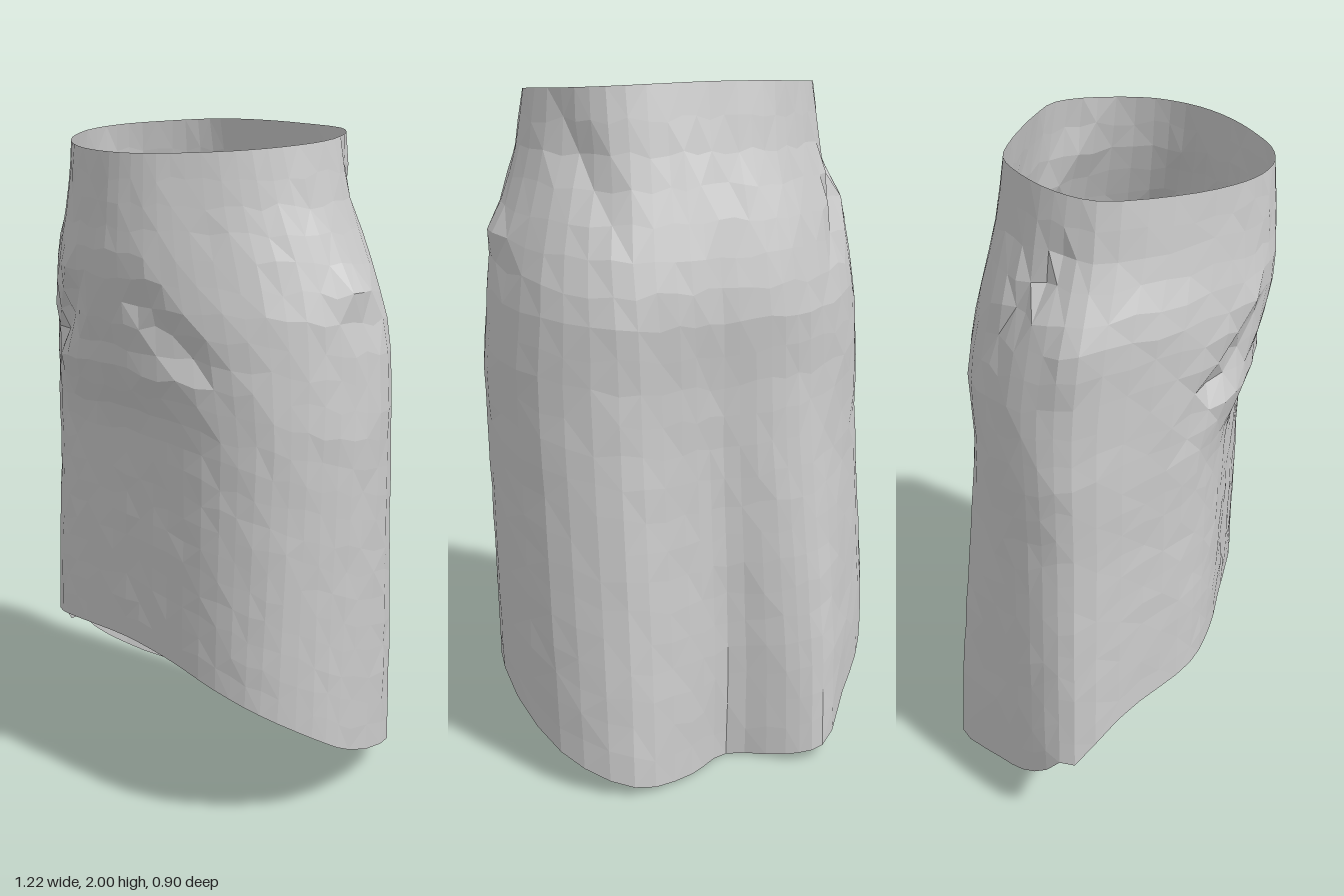
import * as THREE from 'three';

const COLS = 54, ROWS = 22;

// Outlines (x, z) from the left side round the front, right and back
const HEM = [
  0.6, 0.02, 0.57, 0.16, 0.47, 0.29, 0.35, 0.335, 0.17, 0.34, 0, 0.34,
  -0.17, 0.34, -0.32, 0.31, -0.47, 0.18, -0.61, 0.02, -0.56, -0.12, -0.43, -0.27,
  -0.27, -0.455, -0.16, -0.425, 0, -0.33, 0.14, -0.4, 0.34, -0.455, 0.52, -0.32,
];
const THIGH = [
  0.605, 0, 0.57, 0.15, 0.49, 0.26, 0.36, 0.33, 0.18, 0.35, 0.02, 0.35,
  -0.15, 0.345, -0.3, 0.3, -0.43, 0.18, -0.54, 0, -0.51, -0.14, -0.4, -0.27,
  -0.25, -0.36, -0.12, -0.38, 0.02, -0.37, 0.15, -0.38, 0.33, -0.375, 0.52, -0.24,
];
const HIP = [
  0.54, 0, 0.52, 0.13, 0.43, 0.26, 0.3, 0.365, 0.18, 0.43, 0.05, 0.45,
  -0.08, 0.43, -0.22, 0.36, -0.39, 0.2, -0.48, 0.02, -0.45, -0.12, -0.36, -0.23,
  -0.22, -0.32, -0.1, -0.34, 0.03, -0.34, 0.16, -0.34, 0.32, -0.3, 0.46, -0.19,
];
const WAIST = [
  0.45, 0.03, 0.42, 0.17, 0.35, 0.27, 0.25, 0.35, 0.16, 0.4, 0.06, 0.42,
  -0.06, 0.4, -0.17, 0.34, -0.29, 0.22, -0.39, 0.04, -0.37, -0.07, -0.29, -0.18,
  -0.2, -0.25, -0.09, -0.265, 0.03, -0.265, 0.15, -0.26, 0.31, -0.235, 0.4, -0.13,
];

// Silhouette by height: y, right edge -x, left edge +x, back z, front z
const PROFILE = [
  [0.0, -0.61, 0.58, -0.455, 0.34],
  [0.3, -0.61, 0.59, -0.438, 0.342],
  [0.6, -0.585, 0.595, -0.418, 0.345],
  [1.0, -0.545, 0.6, -0.39, 0.347],
  [1.2, -0.54, 0.605, -0.38, 0.35],
  [1.4, -0.515, 0.59, -0.39, 0.4],
  [1.52, -0.5, 0.575, -0.37, 0.43],
  [1.65, -0.48, 0.54, -0.34, 0.45],
  [1.8, -0.415, 0.485, -0.3, 0.44],
  [2.0, -0.39, 0.45, -0.265, 0.425],
];

// Cloth folds: angle in degrees, y, rise per radian, half length, half width, depth
const FOLDS = [
  [116, 1.45, -0.4, 0.4, 0.09, -0.03],
  [112, 1.56, -0.4, 0.35, 0.08, 0.015],
  [66, 1.47, 0.45, 0.35, 0.09, -0.025],
  [92, 1.35, 0, 0.9, 0.08, 0.02],
  [0, 1.57, 0.15, 0.25, 0.08, 0.025],
  [-8, 1.48, 0.15, 0.35, 0.08, -0.015],
  [180, 1.57, -0.1, 0.25, 0.08, 0.025],
  [205, 1.7, -0.4, 0.5, 0.09, -0.03],
  [-35, 1.8, 0.35, 0.4, 0.1, -0.025],
];

// Sample a smooth closed curve through an outline at every column
function ring(outline) {
  const points = [];
  for (let i = 0; i < outline.length; i += 2)
    points.push(new THREE.Vector3(outline[i], 0, outline[i + 1]));
  const curve = new THREE.CatmullRomCurve3(points, true);
  return Array.from({ length: COLS }, (_, i) => curve.getPoint(i / COLS));
}

const hemRing = ring(HEM);
const LEVELS = [[0, hemRing], [1.2, ring(THIGH)], [1.65, ring(HIP)], [2, ring(WAIST)]];
const extents = (points) => {
  const box = new THREE.Box3().setFromPoints(points);
  return [box.min.x, box.max.x, box.min.z, box.max.z];
};

// Find the two table entries around y and the blend between them
function bracket(table, y) {
  let i = 0;
  while (i < table.length - 2 && y > table[i + 1][0]) i++;
  const a = table[i], b = table[i + 1];
  return [a, b, THREE.MathUtils.clamp((y - a[0]) / (b[0] - a[0]), 0, 1)];
}

// Blend the outlines at height y and fit them to the silhouette
function sectionPoint(col, y) {
  const [lower, upper, t] = bracket(LEVELS, y);
  const blended = lower[1].map((p, i) => p.clone().lerp(upper[1][i], t));
  const [x0, x1, z0, z1] = extents(blended);
  const [a, b, k] = bracket(PROFILE, y);
  const edge = a.map((v, i) => THREE.MathUtils.lerp(v, b[i], k));
  const p = blended[col];
  return new THREE.Vector3(
    THREE.MathUtils.mapLinear(p.x, x0, x1, edge[1], edge[2]),
    y,
    THREE.MathUtils.mapLinear(p.z, z0, z1, edge[3], edge[4]),
  );
}

function foldOffset(angle, y) {
  let sum = 0;
  for (const [deg, fy, rise, length, width, depth] of FOLDS) {
    let d = angle - THREE.MathUtils.degToRad(deg);
    d = Math.atan2(Math.sin(d), Math.cos(d));
    const along = Math.max(0, 1 - Math.abs(d) / length);
    const across = Math.max(0, 1 - Math.abs(y - fy - rise * d) / width);
    sum += depth * Math.min(1, along * 1.5) * across;
  }
  return sum;
}

function skirtPoint(col, row, random) {
  // Sloping hem, high in front and low behind; nearly level waist
  const h = hemRing[col];
  const u = Math.min(1, Math.abs(h.x) / 0.6);
  const hem = 0.265 - 0.05 * h.x + 0.265 * Math.sign(h.z - 0.02) * Math.sqrt(1 - u * u);
  const waist = 1.975 - 0.025 * Math.sin((col / COLS) * Math.PI * 2);
  const inside = row > 0 && row < ROWS;
  let y = Math.max(0, THREE.MathUtils.lerp(hem, waist, row / ROWS));
  if (inside) y += (random() - 0.5) * 0.02;

  const p = sectionPoint(col, y);
  const angle = Math.atan2(p.z * 1.35, p.x);
  const push = foldOffset(angle, y) + (inside ? (random() - 0.5) * 0.004 : 0);
  p.x += Math.cos(angle) * push;
  p.z += Math.sin(angle) * push;
  return p.toArray();
}

function skirtGeometry() {
  let seed = 7;
  const random = () => (seed = (seed * 16807) % 2147483647) / 2147483647;
  const positions = [], index = [];
  for (let r = 0; r <= ROWS; r++)
    for (let c = 0; c < COLS; c++) positions.push(...skirtPoint(c, r, random));
  for (let r = 0; r < ROWS; r++)
    for (let c = 0; c < COLS; c++) {
      const a = r * COLS + c, b = r * COLS + ((c + 1) % COLS);
      const d = a + COLS, e = b + COLS;
      // Alternate the diagonals for a cloth-like facet pattern
      if ((r + c) % 2) index.push(a, d, b, b, d, e);
      else index.push(a, d, e, a, e, b);
    }
  const geometry = new THREE.BufferGeometry();
  geometry.setAttribute('position', new THREE.Float32BufferAttribute(positions, 3));
  geometry.setIndex(index);
  geometry.computeVertexNormals();
  return geometry;
}

export function createModel() {
  const group = new THREE.Group();
  group.name = 'skirt';
  const cloth = new THREE.MeshStandardMaterial({
    color: 0xcccccc, flatShading: true, side: THREE.DoubleSide,
  });
  const skirt = new THREE.Mesh(skirtGeometry(), cloth);
  skirt.name = 'skirtCloth';
  group.add(skirt);
  return group;
}
